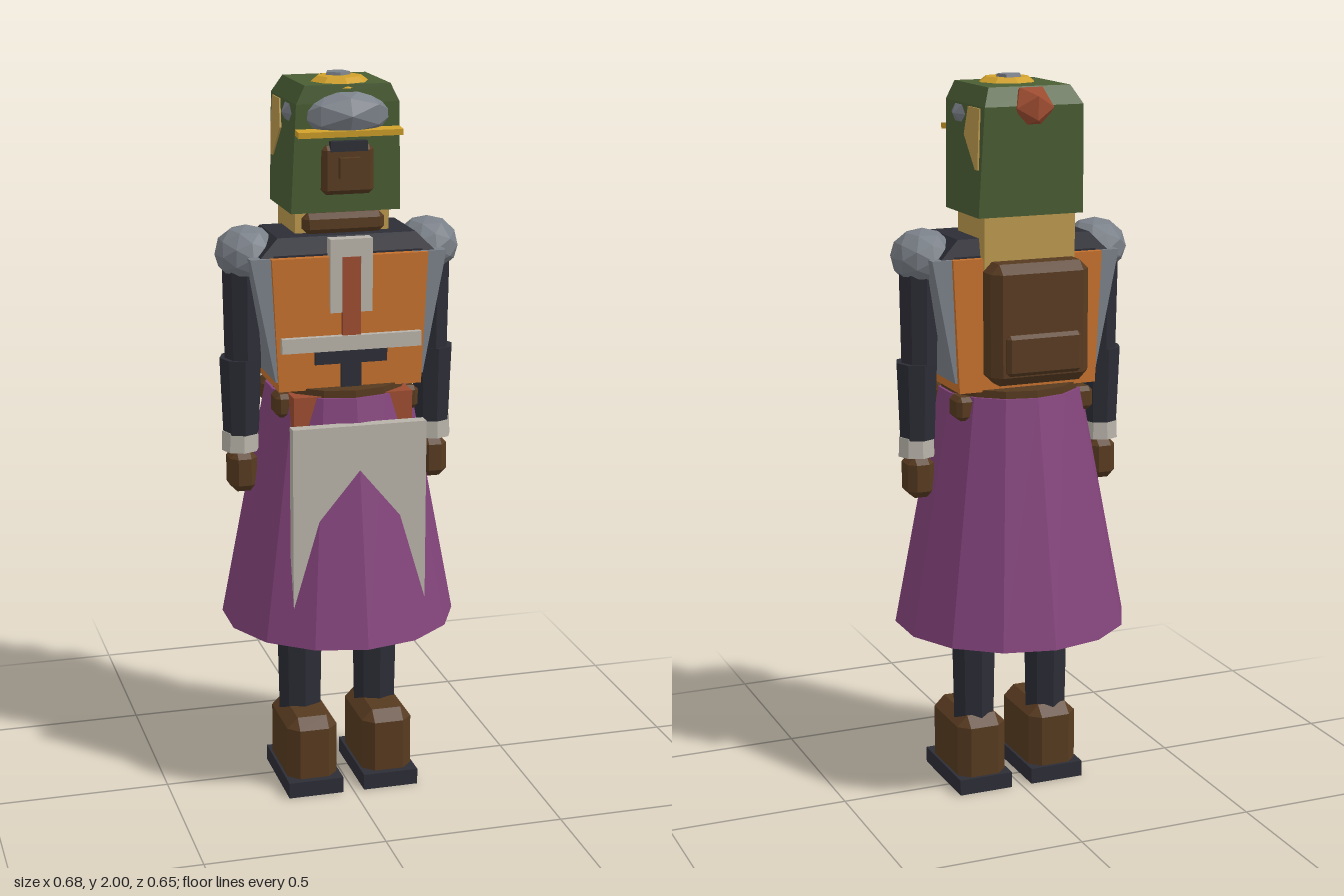
import * as THREE from 'three';
import { ConvexGeometry } from 'three/addons/geometries/ConvexGeometry.js';

const mat = (name, color) => {
  const m = new THREE.MeshStandardMaterial({ color, flatShading: true });
  m.name = name;
  return m;
};

export function createModel() {
  const g = new THREE.Group();
  g.name = 'figure';
  const purple = mat('purple', 0x84447c), orange = mat('orange', 0xc4702c);
  const brown = mat('brown', 0x573a20), dark = mat('charcoal', 0x2c2d36);
  const grey = mat('steel grey', 0x7a8088), beige = mat('beige', 0xb8b3a9);
  const green = mat('green', 0x4a5e34), tan = mat('tan', 0xba974c);
  const yellow = mat('yellow', 0xd0a02a), rust = mat('rust', 0x9c4c30);

  const add = (name, geo, m, x = 0, y = 0, z = 0) => {
    const mesh = new THREE.Mesh(geo, m);
    mesh.name = name;
    mesh.position.set(x, y, z);
    g.add(mesh);
    return mesh;
  };
  // box given by its extents
  const box = (name, m, x0, x1, y0, y1, z0, z1) =>
    add(name, new THREE.BoxGeometry(x1 - x0, y1 - y0, z1 - z0), m, (x0 + x1) / 2, (y0 + y1) / 2, (z0 + z1) / 2);
  // box with all edges chamfered by c
  const chamfered = (name, m, x0, x1, y0, y1, z0, z1, c) => {
    const a = (x1 - x0) / 2, b = (y1 - y0) / 2, d = (z1 - z0) / 2, pts = [];
    for (const i of [-1, 1]) for (const j of [-1, 1]) for (const k of [-1, 1]) {
      pts.push(new THREE.Vector3(i * a, j * (b - c), k * (d - c)));
      pts.push(new THREE.Vector3(i * (a - c), j * b, k * (d - c)));
      pts.push(new THREE.Vector3(i * (a - c), j * (b - c), k * d));
    }
    return add(name, new ConvexGeometry(pts), m, (x0 + x1) / 2, (y0 + y1) / 2, (z0 + z1) / 2);
  };
  // convex solid through rectangular levels [y, x0, x1, z0, z1]
  const levels = (name, m, rows) => {
    const pts = [];
    for (const [y, x0, x1, z0, z1] of rows)
      for (const x of [x0, x1]) for (const z of [z0, z1]) pts.push(new THREE.Vector3(x, y, z));
    return add(name, new ConvexGeometry(pts), m);
  };
  const cyl = (name, m, rt, rb, y0, y1, n, x = 0, z = 0) =>
    add(name, new THREE.CylinderGeometry(rt, rb, y1 - y0, n), m, x, (y0 + y1) / 2, z);
  const ball = (name, m, rx, ry, rz, detail, x, y, z) => {
    const geo = new THREE.IcosahedronGeometry(1, detail);
    geo.scale(rx, ry, rz);
    return add(name, geo, m, x, y, z);
  };

  // skirt, waist belt, front sash and the apron that sinks into the skirt
  cyl('skirt', purple, 0.198, 0.325, 0.485, 1.155, 14);
  cyl('waistBelt', brown, 0.19, 0.19, 1.14, 1.175, 14);
  box('sash', rust, -0.165, 0.165, 0.97, 1.158, 0.1, 0.166);
  box('apron', beige, -0.185, 0.185, 0.55, 1.09, 0.2, 0.234);

  // torso with plates, yoke and straps
  levels('torso', dark, [[1.165, -0.19, 0.19, -0.11, 0.115], [1.535, -0.205, 0.205, -0.11, 0.115]]);
  levels('yoke', dark, [[1.53, -0.24, 0.24, -0.11, 0.115], [1.58, -0.19, 0.19, -0.1, 0.1]]);
  levels('chestPlate', orange, [[1.17, -0.198, 0.198, 0.113, 0.138], [1.53, -0.215, 0.215, 0.113, 0.138]]);
  levels('backPlate', orange, [[1.17, -0.198, 0.198, -0.13, -0.108], [1.53, -0.215, 0.215, -0.13, -0.108]]);
  box('tunicHem', orange, -0.198, 0.198, 1.17, 1.2, -0.13, 0.138);
  box('chestBelt', beige, -0.193, 0.193, 1.278, 1.318, 0.136, 0.156);
  box('beltShadowBand', dark, -0.1, 0.1, 1.24, 1.275, 0.135, 0.145);
  box('beltTab', dark, -0.028, 0.028, 1.17, 1.24, 0.135, 0.145);
  box('collarTop', beige, -0.058, 0.058, 1.53, 1.578, 0.11, 0.147);
  box('tie', rust, -0.025, 0.025, 1.315, 1.53, 0.135, 0.15);
  chamfered('backpack', brown, -0.14, 0.14, 1.2, 1.525, -0.23, -0.128, 0.025);
  chamfered('backpackPocket', brown, -0.107, 0.107, 1.23, 1.34, -0.246, -0.2, 0.01);

  for (const s of [-1, 1]) {
    const side = s < 0 ? 'right' : 'left';
    const mir = (a, b) => (s > 0 ? [a, b] : [-b, -a]);
    box(side + 'CollarStrap', beige, ...mir(0.026, 0.058), 1.38, 1.54, 0.13, 0.147);
    levels(side + 'SidePanel', grey, [
      [1.195, ...mir(0.16, 0.205), -0.115, 0.13],
      [1.53, ...mir(0.18, 0.27), -0.12, 0.125]]);
    // belt pouches
    for (const z of [0.078, -0.083])
      chamfered(side + 'Pouch', brown, ...mir(0.14, 0.2), 1.09, 1.155, z - 0.038, z + 0.038, 0.012);
    // arm
    ball(side + 'Shoulder', grey, 0.086, 0.077, 0.094, 1, s * 0.253, 1.525, 0);
    cyl(side + 'UpperArm', dark, 0.055, 0.05, 1.22, 1.52, 8, s * 0.265).scale.z = 1.2;
    cyl(side + 'Forearm', dark, 0.058, 0.05, 1.03, 1.24, 8, s * 0.272).scale.z = 1.1;
    cyl(side + 'Cuff', beige, 0.05, 0.052, 0.98, 1.035, 8, s * 0.275);
    chamfered(side + 'Hand', brown, ...mir(0.234, 0.31), 0.865, 0.98, -0.044, 0.044, 0.02);
    // leg and boot
    cyl(side + 'Leg', dark, 0.067, 0.06, 0.2, 0.56, 8, s * 0.11);
    chamfered(side + 'Boot', brown, ...mir(0.037, 0.18), 0.015, 0.22, -0.08, 0.16, 0.03);
    box(side + 'Sole', dark, ...mir(0.03, 0.187), 0, 0.045, -0.09, 0.18);
    // exposed patch at the side of the hood
    levels(side + 'HoodPatch', tan, [
      [1.765, ...mir(0.11, 0.1495), -0.14, -0.12],
      [1.85, ...mir(0.11, 0.148), -0.14, -0.04],
      [1.925, ...mir(0.11, 0.144), -0.14, -0.06]]);
  }

  // neck and scarf
  box('neck', tan, -0.13, 0.13, 1.5, 1.67, -0.14, 0.05);
  chamfered('scarf', brown, -0.112, 0.112, 1.578, 1.635, -0.05, 0.08, 0.015);

  // hood with goggle ball, brim, crown badge and rear bobble
  levels('hood', green, [
    [1.64, -0.15, 0.15, -0.148, 0.088],
    [1.93, -0.14, 0.14, -0.168, 0.108],
    [1.978, -0.116, 0.116, -0.135, 0.105]]);
  ball('goggles', grey, 0.157, 0.085, 0.14, 1, 0, 1.9, 0.015);
  box('brim', yellow, -0.142, 0.142, 1.851, 1.867, 0.03, 0.14).rotation.x = 0.1;
  cyl('crownBadge', yellow, 0.06, 0.092, 1.968, 1.992, 8, 0, 0.02);
  cyl('crownStud', grey, 0.034, 0.038, 1.985, 2, 5, 0, 0);
  ball('rearBobble', rust, 0.062, 0.06, 0.058, 0, 0, 1.925, -0.145);

  // breathing mask
  chamfered('mask', brown, -0.07, 0.07, 1.69, 1.82, 0.06, 0.118, 0.012);
  box('maskBridge', dark, -0.05, 0.05, 1.805, 1.832, 0.07, 0.122);
  box('maskVent', brown, -0.028, 0.028, 1.735, 1.79, 0.1, 0.137);
  return g;
}
